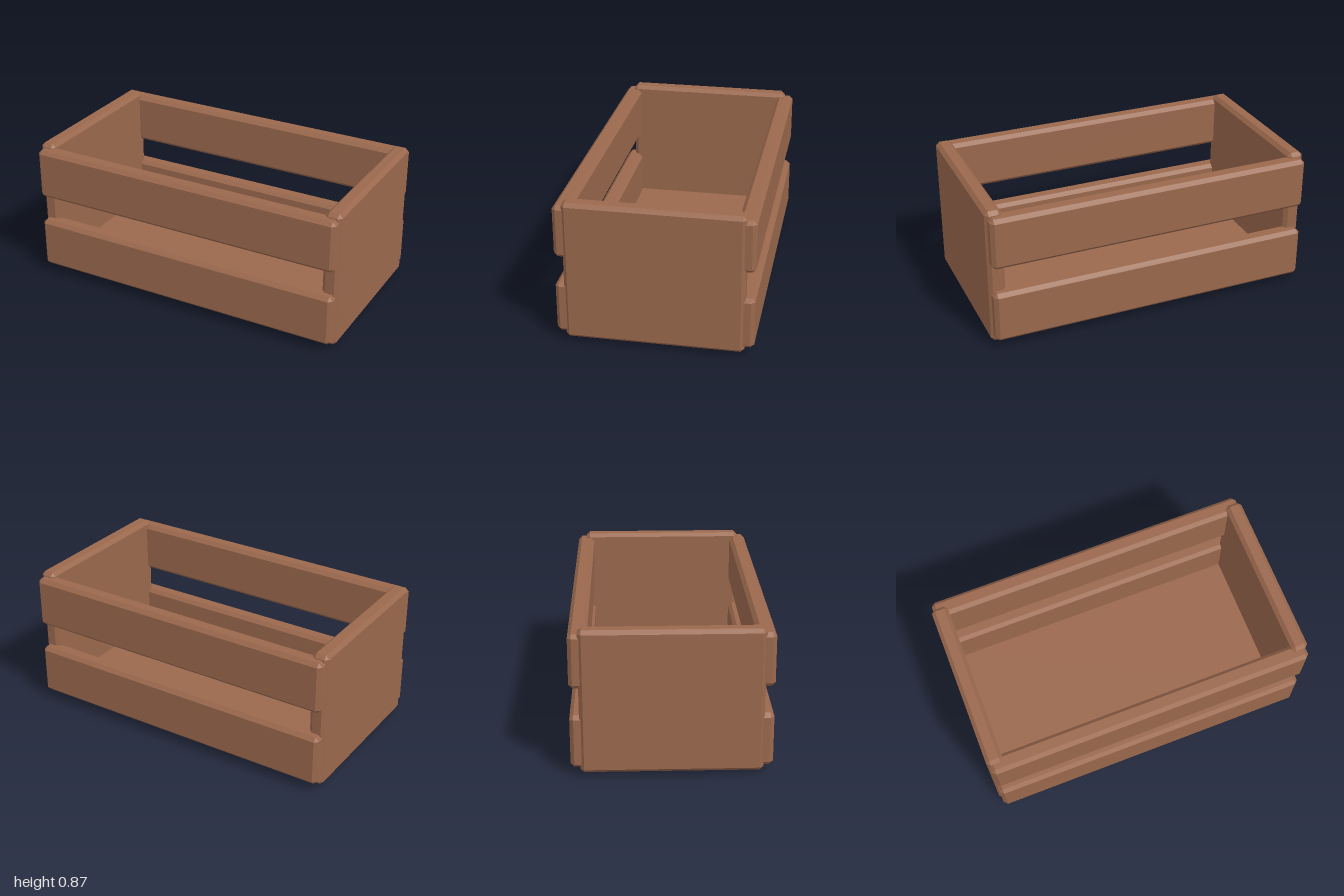
import * as THREE from 'three';
import { ConvexGeometry } from 'three/addons/geometries/ConvexGeometry.js';

const BEVEL = 0.022;

// Box with every edge cut at 45 degrees: three corner points per corner
function bevelledBox(w, h, d, b = BEVEL) {
  const points = [];
  for (const sx of [-1, 1]) for (const sy of [-1, 1]) for (const sz of [-1, 1]) {
    const x = w / 2, y = h / 2, z = d / 2;
    points.push(
      new THREE.Vector3(sx * x, sy * (y - b), sz * (z - b)),
      new THREE.Vector3(sx * (x - b), sy * y, sz * (z - b)),
      new THREE.Vector3(sx * (x - b), sy * (y - b), sz * z)
    );
  }
  return new ConvexGeometry(points);
}

export function createModel() {
  const crate = new THREE.Group();
  crate.name = 'crate';
  const wood = new THREE.MeshStandardMaterial({ color: 0x9a684d });
  wood.name = 'brown wood';

  const addBoard = (name, geometry, x, y, z) => {
    const mesh = new THREE.Mesh(geometry, wood);
    mesh.name = name;
    mesh.position.set(x, y, z);
    crate.add(mesh);
  };

  // Floor board, slightly lower than the end panels
  addBoard('floor', bevelledBox(1.874, 0.1, 0.984), 0, 0.05, 0);

  // Solid end panels
  const panel = bevelledBox(0.1, 0.844, 1.024);
  addBoard('leftEndPanel', panel, 0.95, 0.444, 0);
  addBoard('rightEndPanel', panel, -0.95, 0.444, 0);

  // Two slats along the front and two along the back
  const slat = bevelledBox(1.974, 0.314, 0.105);
  for (const [side, z] of [['front', 0.5135], ['back', -0.5135]]) {
    addBoard(side + 'LowerSlat', slat, 0, 0.207, z);
    addBoard(side + 'UpperSlat', slat, 0, 0.682, z);
  }
  return crate;
}
